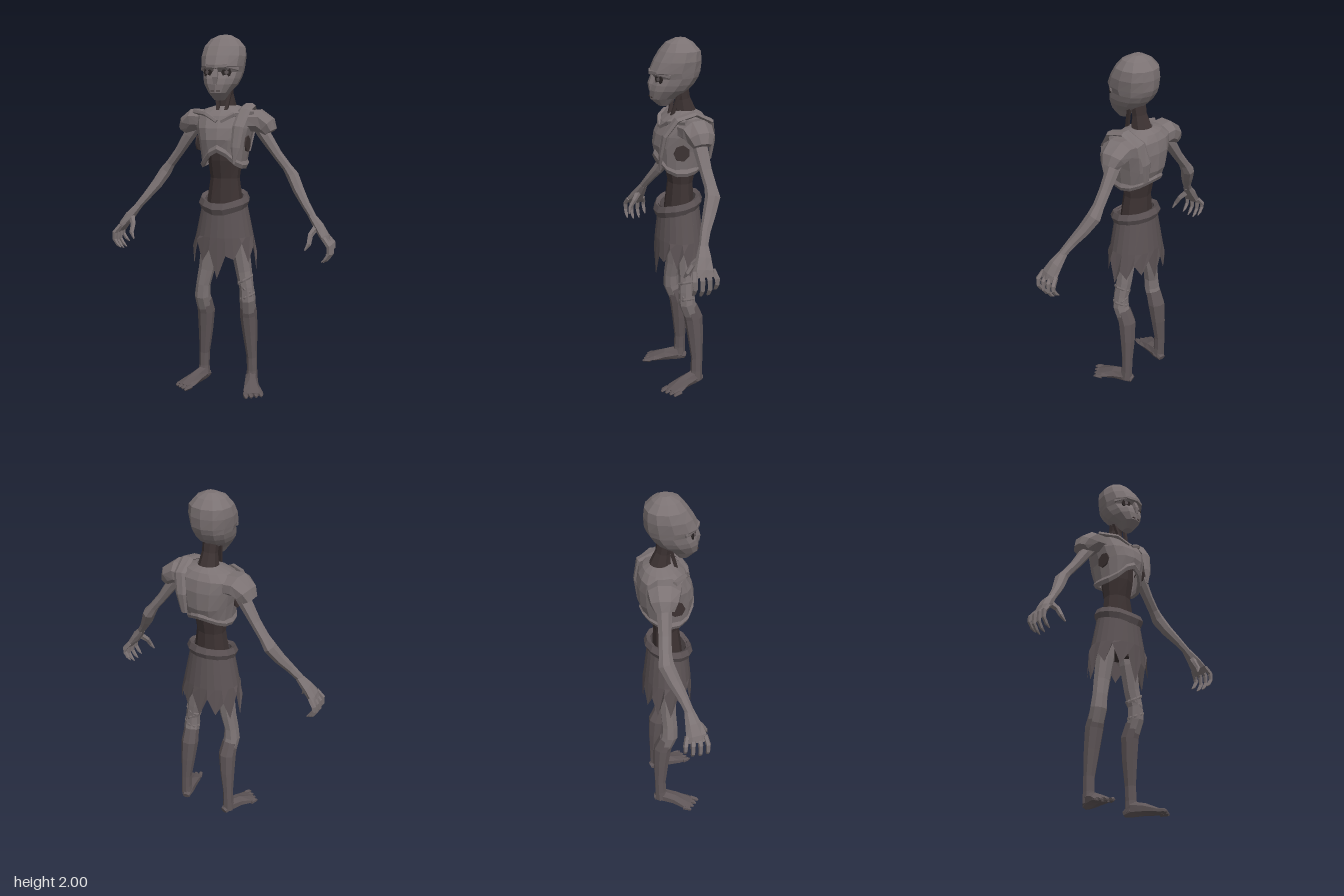
import * as THREE from 'three';

const material = (name, color) => {
  const m = new THREE.MeshStandardMaterial({ color, side: THREE.DoubleSide });
  m.name = name;
  return m;
};
const V = (x, y, z) => new THREE.Vector3(x, y, z);

// Flat-shaded skin over a list of closed rings
function skinRings(rings, capped = true) {
  const n = rings[0].length, pos = [], idx = [];
  rings.flat().forEach(p => pos.push(p.x, p.y, p.z));
  for (let i = 0; i < rings.length - 1; i++) for (let j = 0; j < n; j++) {
    const k = (j + 1) % n, a = i * n + j, b = i * n + k;
    idx.push(a, b, b + n, a, b + n, a + n);
  }
  if (capped) for (const end of [0, rings.length - 1]) {
    const c = rings[end].reduce((s, p) => s.add(p), V(0, 0, 0)).divideScalar(n);
    const ci = pos.length / 3;
    pos.push(c.x, c.y, c.z);
    for (let j = 0; j < n; j++) {
      const a = end * n + j, b = end * n + (j + 1) % n;
      if (end) idx.push(ci, a, b); else idx.push(ci, b, a);
    }
  }
  const g = new THREE.BufferGeometry();
  g.setAttribute('position', new THREE.Float32BufferAttribute(pos, 3));
  g.setIndex(idx);
  const flat = g.toNonIndexed();
  flat.computeVertexNormals();
  return flat;
}

// Limb through points [x, y, z, r1, r2], cross-sections square to the path
function limb(pts, sides = 7, ref = V(0, 0, 1)) {
  const p = pts.map(q => V(q[0], q[1], q[2]));
  return skinRings(pts.map((q, i) => {
    const t = p[Math.min(i + 1, p.length - 1)].clone().sub(p[Math.max(i - 1, 0)]).normalize();
    const u = t.clone().cross(ref).normalize(), v = t.clone().cross(u);
    return Array.from({ length: sides }, (_, j) => {
      const a = (j + 0.5) / sides * Math.PI * 2;
      return p[i].clone().addScaledVector(u, Math.cos(a) * q[3])
        .addScaledVector(v, Math.sin(a) * (q[4] ?? q[3]));
    });
  }));
}

// Level ring: half width, front z, back z; angle 0 is the front
function ring(n, y, w, front, back, power = 1) {
  return Array.from({ length: n }, (_, j) => {
    const a = j / n * Math.PI * 2, s = Math.sin(a), c = Math.cos(a);
    const bend = k => Math.sign(k) * Math.abs(k) ** power;
    return V(bend(s) * w, typeof y === 'function' ? y(a, j) : y,
      (front + back) / 2 + bend(c) * (front - back) / 2);
  });
}

// Elliptical hoop whose height follows a rule of the angle
function hoop(w, front, back, tube, tall, yAt, n = 16) {
  const half = (front - back) / 2, mid = (front + back) / 2;
  const g = new THREE.TorusGeometry(1, 0.5, 5, n).toNonIndexed();
  const p = g.attributes.position;
  for (let i = 0; i < p.count; i++) {
    const x = p.getX(i), y = p.getY(i), h = p.getZ(i) * 2;
    const r = Math.hypot(x, y), a = Math.atan2(x, -y), off = (r - 1) * 2 * tube;
    p.setXYZ(i, x / r * (w + off), yAt(a) + h * tall, mid - y / r * (half + off));
  }
  g.computeVertexNormals();
  return g;
}

export function createModel() {
  const model = new THREE.Group();
  const skin = material('ashen skin', 0x7b7273);
  const cloth = material('worn cloth', 0x5b5254);
  const wrap = material('leg wraps', 0x5f5658);
  const dark = material('dark flesh', 0x3c3232);
  const black = material('eye sockets', 0x2b2525);
  const add = (name, geo, mat, parent = model) => {
    const m = new THREE.Mesh(geo, mat);
    m.name = name;
    parent.add(m);
    return m;
  };

  // Head: [y, half width, front z, back z]
  add('head', skinRings([
    [1.65, 0.028, 0.105, 0.05], [1.69, 0.055, 0.152, 0.01], [1.735, 0.088, 0.155, -0.06],
    [1.765, 0.1, 0.148, -0.09], [1.8, 0.108, 0.13, -0.112], [1.83, 0.114, 0.155, -0.124],
    [1.885, 0.12, 0.128, -0.128], [1.935, 0.112, 0.095, -0.122], [1.975, 0.078, 0.06, -0.085],
    [1.998, 0.03, 0.01, -0.045]
  ].map(([y, w, f, b]) => ring(12, y, w, f, b, 0.9))), skin);
  add('nose', limb([[0, 1.82, 0.135, 0.012], [0, 1.77, 0.15, 0.02, 0.016], [0, 1.735, 0.152, 0.012, 0.006]], 4), skin);
  add('mouth', new THREE.BoxGeometry(0.05, 0.006, 0.008).translate(0, 1.7, 0.147), dark);
  for (const s of [-1, 1]) {
    const eye = new THREE.Group();
    eye.name = s > 0 ? 'leftEye' : 'rightEye';
    eye.position.set(s * 0.052, 1.798, 0.119);
    eye.rotation.y = s * 0.42;
    add('socket', new THREE.CylinderGeometry(0.027, 0.027, 0.009, 8).rotateX(Math.PI / 2), black, eye);
    add('eyeball', new THREE.CylinderGeometry(0.011, 0.011, 0.006, 6).rotateX(Math.PI / 2).translate(0, 0, 0.005), wrap, eye);
    model.add(eye);
  }
  add('browRidge', limb([[-0.1, 1.815, 0.07, 0.012], [-0.05, 1.832, 0.13, 0.014], [0, 1.828, 0.148, 0.014],
    [0.05, 1.832, 0.13, 0.014], [0.1, 1.815, 0.07, 0.012]], 5, V(0, 1, 0)), skin);

  // Neck with throat cords
  add('neck', limb([[0, 1.53, -0.04, 0.07, 0.075], [0, 1.61, -0.045, 0.055, 0.06], [0, 1.68, -0.03, 0.042, 0.04],
    [0, 1.77, -0.015, 0.045, 0.04]], 8), dark);
  for (const s of [-1, 1]) add('neckCord', limb([[s * 0.015, 1.55, 0.05, 0.012], [s * 0.045, 1.73, 0, 0.012]], 4), dark);

  // Rib cage, open below with a raised arch in front and behind
  const rimY = a => 1.285 + 0.095 * Math.max(0, Math.cos(a)) ** 4 + 0.06 * Math.max(0, -Math.cos(a)) ** 2;
  add('ribCage', skinRings([
    ring(16, rimY, 0.118, 0.12, -0.14, 0.85), ring(16, a => 1.42 + 0.02 * Math.cos(a), 0.138, 0.135, -0.165, 0.85),
    ring(16, 1.5, 0.158, 0.122, -0.17, 0.85), ring(16, 1.565, 0.17, 0.085, -0.158, 0.85),
    ring(16, 1.6, 0.125, 0.045, -0.135), ring(16, 1.62, 0.06, 0.005, -0.1)
  ], false), skin);
  add('ribRim', hoop(0.12, 0.125, -0.145, 0.014, 0.022, a => rimY(a) + 0.012), skin);
  for (const s of [-1, 1]) {
    add('collarBone', limb([[s * 0.01, 1.535, 0.098, 0.012], [s * 0.08, 1.575, 0.075, 0.014],
      [s * 0.17, 1.585, 0.01, 0.016]], 5), skin);
    add('sideHollow', new THREE.CylinderGeometry(0.045, 0.045, 0.008, 7).rotateZ(Math.PI / 2)
      .translate(s * 0.142, 1.415, 0.025), dark);
  }
  // Torn strap over the left shoulder
  add('shoulderStrap', limb([[0.1, 1.31, 0.135, 0.004, 0.004], [0.105, 1.4, 0.13, 0.026, 0.01], [0.115, 1.51, 0.112, 0.032, 0.012],
    [0.13, 1.595, 0.05, 0.036, 0.014], [0.128, 1.62, -0.05, 0.036, 0.014], [0.115, 1.575, -0.145, 0.034, 0.014],
    [0.095, 1.47, -0.168, 0.032, 0.01], [0.085, 1.36, -0.155, 0.02, 0.008]].map(([x, y, z, w, d]) => [x, y, z, d, w]),
    6, V(1, 0, 0)), skin);

  // Shrunken waist and hips
  add('waist', limb([[0, 0.86, -0.01, 0.07, 0.06], [0, 1.0, -0.01, 0.115, 0.09], [0, 1.1, -0.01, 0.1, 0.08],
    [0, 1.22, -0.015, 0.083, 0.07], [0, 1.32, -0.015, 0.095, 0.09], [0, 1.44, -0.02, 0.1, 0.1]], 10), dark);

  // Ragged skirt: tips and notches alternate round the hem
  const hem = [0.67, 0.8, 0.78, 0.87, 0.76, 0.85, 0.71, 0.8, 0.75, 0.84, 0.77, 0.85,
    0.72, 0.84, 0.74, 0.82, 0.71, 0.86, 0.71, 0.83, 0.77, 0.88, 0.76, 0.83];
  add('skirt', skinRings([
    ring(24, (a, j) => hem[j], 0.186, 0.13, -0.15), ring(24, 0.9, 0.165, 0.125, -0.142),
    ring(24, 1.09, 0.125, 0.105, -0.12)
  ], false), cloth);
  add('belt', hoop(0.125, 0.115, -0.118, 0.02, 0.034,
    a => 1.095 - 0.025 * Math.cos(a) - 0.015 * Math.max(0, Math.cos(a)) ** 6, 14), cloth);

  // Limbs are made for the left side and mirrored by s
  for (const s of [-1, 1]) {
    const side = s > 0 ? 'left' : 'right';
    const flip = pts => pts.map(([x, ...rest]) => [s * x, ...rest]);
    const part = (name, pts, mat, sides, ref) => add(side + name, limb(flip(pts), sides, ref), mat);

    // Arm
    part('Sleeve', [[0.11, 1.535, -0.035, 0.06, 0.095], [0.185, 1.54, -0.045, 0.064, 0.09],
      [0.228, 1.51, -0.05, 0.058, 0.075], [0.25, 1.475, -0.05, 0.04, 0.052]], skin, 8);
    part('Arm', [[0.17, 1.53, -0.05, 0.04], [0.225, 1.45, -0.05, 0.035, 0.04], [0.29, 1.355, -0.055, 0.027, 0.034],
      [0.345, 1.285, -0.06, 0.026, 0.034], [0.378, 1.238, -0.06, 0.034, 0.042], [0.42, 1.165, -0.025, 0.031, 0.036],
      [0.47, 1.095, 0.015, 0.024, 0.028], [0.52, 1.03, 0.045, 0.02, 0.024]], skin, 7);

    // Hand with four hooked fingers and a thumb
    part('Palm', [[0.51, 1.04, 0.04, 0.02, 0.026], [0.555, 0.985, 0.055, 0.028, 0.042],
      [0.59, 0.935, 0.068, 0.024, 0.055], [0.608, 0.905, 0.07, 0.014, 0.05]], skin, 7);
    for (let i = 0; i < 4; i++) {
      const z = 0.022 + i * 0.031, f = (i - 1.5) * 0.008, d = i === 0 ? 0.025 : i === 3 ? 0.01 : 0;
      part('Finger', [[0.59, 0.935, z, 0.014], [0.622, 0.895, z + f, 0.014], [0.624, 0.845 + d, z + f, 0.012],
        [0.605, 0.815 + d, z + f, 0.01], [0.585, 0.798 + d, z + f, 0.003]], skin, 5);
    }
    part('Thumb', [[0.545, 0.99, 0.06, 0.02], [0.517, 0.945, 0.1, 0.015], [0.515, 0.9, 0.128, 0.013],
      [0.496, 0.868, 0.14, 0.004]], skin, 5);

    // Leg
    part('Thigh', [[0.08, 1.0, -0.025, 0.06], [0.088, 0.83, -0.015, 0.054, 0.052], [0.112, 0.69, -0.015, 0.046, 0.046],
      [0.13, 0.6, -0.008, 0.041, 0.045], [0.136, 0.53, -0.01, 0.046, 0.048], [0.132, 0.46, -0.035, 0.044, 0.045]], skin, 8);
    part('ShinWrap', [[0.132, 0.505, -0.025, 0.044, 0.047], [0.129, 0.43, -0.052, 0.05, 0.054], [0.136, 0.31, -0.062, 0.042, 0.046],
      [0.146, 0.17, -0.068, 0.03, 0.034], [0.148, 0.09, -0.066, 0.03, 0.035], [0.148, 0.03, -0.06, 0.036, 0.04]], wrap, 8);

    // Splayed foot with toes
    const up = V(0, 1, 0);
    part('Foot', [[0.135, 0.026, -0.1, 0.022, 0.02], [0.148, 0.045, -0.05, 0.036, 0.044], [0.17, 0.036, 0.02, 0.042, 0.034],
      [0.195, 0.022, 0.08, 0.056, 0.02], [0.208, 0.014, 0.115, 0.052, 0.012]], wrap, 7, up);
    for (let i = 0; i < 4; i++) {
      const x = 0.165 + i * 0.024, z = 0.118 - i * 0.018;
      part('Toe', [[x, 0.016, z, 0.016, 0.014], [x + 0.012, 0.014, z + 0.03, 0.014, 0.012],
        [x + 0.02, 0.008, z + 0.045, 0.006, 0.006]], wrap, 5, up);
    }
  }

  // Loose bindings round the left thigh
  [[0.121, 0.645, 0.25], [0.128, 0.6, -0.3], [0.134, 0.55, 0.2]].forEach(([x, y, tilt]) => {
    const b = add('thighBinding', hoop(0.043, 0.044, -0.044, 0.004, 0.01, a => tilt * 0.1 * Math.sin(a), 8), skin);
    b.position.set(x, y, -0.01);
  });
  return model;
}
